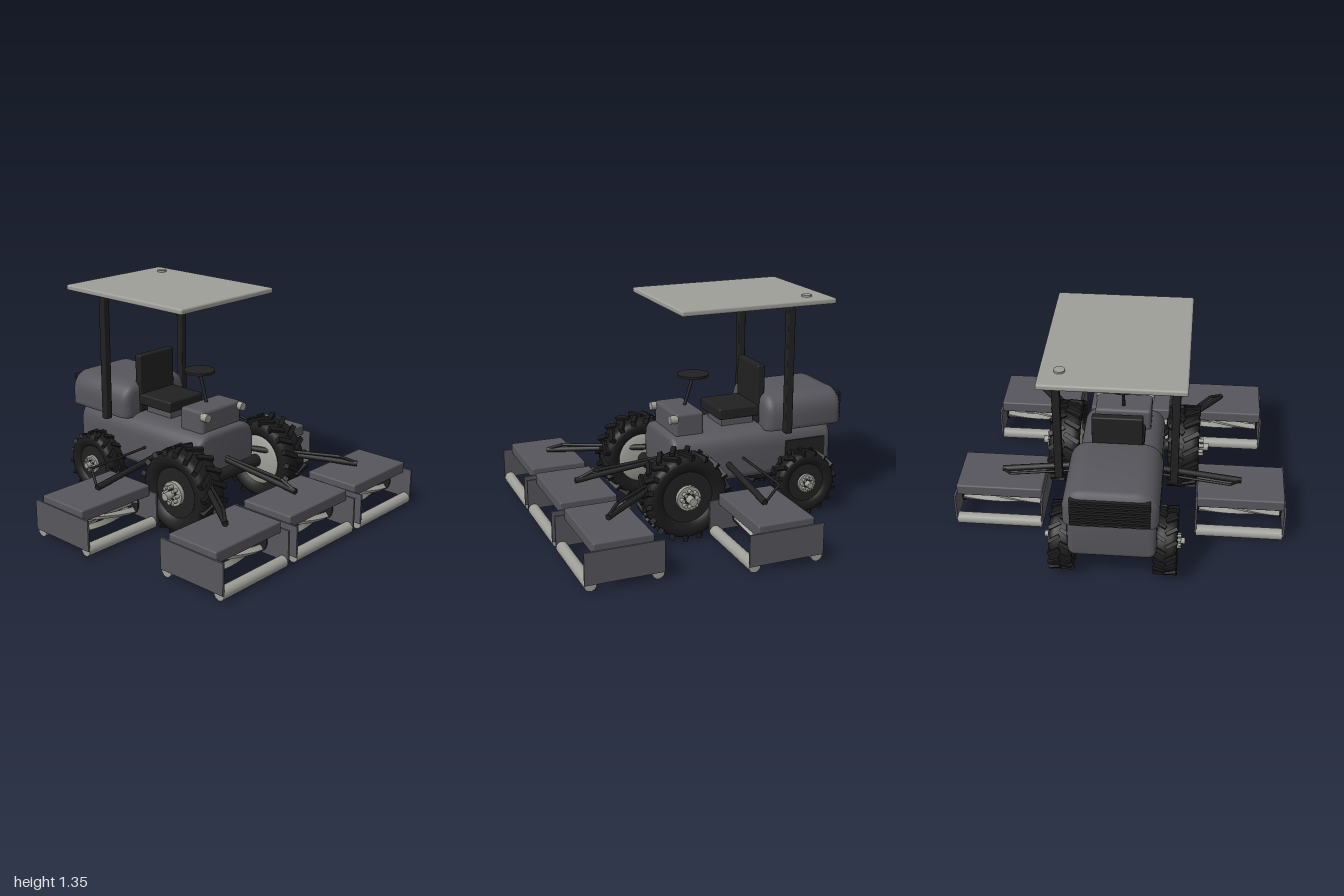
import * as THREE from 'three';
import { toCreasedNormals } from 'three/addons/utils/BufferGeometryUtils.js';
import { RoundedBoxGeometry } from 'three/addons/geometries/RoundedBoxGeometry.js';

const mat = (name, color) => {
  const m = new THREE.MeshStandardMaterial({ color });
  m.name = name;
  return m;
};
const V = (x, y, z) => new THREE.Vector3(x, y, z);

export function createModel() {
  const paint = mat('charcoal paint', 0x57565c);
  const black = mat('black', 0x212122);
  const rubber = mat('tyre rubber', 0x1b1b1c);
  const light = mat('light grey', 0x9f9f98);
  const root = new THREE.Group();
  root.name = 'reelMower';

  function add(parent, name, geo, material, x = 0, y = 0, z = 0) {
    const m = new THREE.Mesh(geo, material);
    m.name = name;
    m.position.set(x, y, z);
    parent.add(m);
    return m;
  }
  // box given by its limits
  const block = (parent, name, material, [x0, x1], [y0, y1], [z0, z1], r = 0) =>
    add(parent, name, r
      ? new RoundedBoxGeometry(x1 - x0, y1 - y0, z1 - z0, 2, r)
      : new THREE.BoxGeometry(x1 - x0, y1 - y0, z1 - z0),
    material, (x0 + x1) / 2, (y0 + y1) / 2, (z0 + z1) / 2);
  // straight rod between two points
  function rod(parent, name, a, b, r, material, sides = 10) {
    const d = b.clone().sub(a);
    const m = add(parent, name, new THREE.CylinderGeometry(r, r, d.length(), sides), material);
    m.position.copy(a).addScaledVector(d, 0.5);
    m.quaternion.setFromUnitVectors(V(0, 1, 0), d.normalize());
    return m;
  }
  // disc or drum lying along z
  const drum = (parent, name, material, r, z0, z1, x = 0, y = 0, sides = 24) => {
    const g = new THREE.CylinderGeometry(r, r, z1 - z0, sides).rotateX(Math.PI / 2);
    return add(parent, name, g, material, x, y, (z0 + z1) / 2);
  };
  // rounded section swept along x with softened ends
  function hull(x0, x1, y0, y1, w, rTop, rBottom, bevel) {
    const b = bevel, h = w - b, t = y1 - b, u = y0 + b;
    const s = new THREE.Shape();
    s.moveTo(-h + rBottom, u);
    s.lineTo(h - rBottom, u);
    s.quadraticCurveTo(h, u, h, u + rBottom);
    s.lineTo(h, t - rTop);
    s.quadraticCurveTo(h, t, h - rTop, t);
    s.lineTo(-h + rTop, t);
    s.quadraticCurveTo(-h, t, -h, t - rTop);
    s.lineTo(-h, u + rBottom);
    s.quadraticCurveTo(-h, u, -h + rBottom, u);
    const g = new THREE.ExtrudeGeometry(s, {
      depth: x1 - x0 - 2 * b, bevelThickness: b, bevelSize: b, bevelSegments: 3, curveSegments: 8,
    });
    return g.rotateY(Math.PI / 2).translate(x0 + b, 0, 0);
  }

  // chassis and rear engine hood with a flat underside
  add(root, 'chassis', toCreasedNormals(hull(-0.865, 0.18, 0.25, 0.555, 0.25, 0.09, 0.02, 0.03), 0.6), paint);
  const hood = hull(-0.93, -0.42, 0.46, 0.75, 0.268, 0.08, 0.05, 0.05);
  const hp = hood.attributes.position;
  for (let i = 0; i < hp.count; i++) hp.setY(i, Math.max(hp.getY(i), 0.535));
  add(root, 'engineHood', toCreasedNormals(hood, 0.6), paint);
  for (let i = 0; i < 7; i++) {
    const y = 0.56 + i * 0.025;
    block(root, 'grilleSlat', black, [-0.943, -0.9], [y - 0.008, y + 0.008], [-0.22, 0.22]);
  }
  block(root, 'sideVent', black, [-0.82, -0.55], [0.34, 0.46], [-0.256, -0.248]);

  // seat, console and steering
  block(root, 'seatBack', black, [-0.455, -0.408], [0.56, 0.92], [-0.145, 0.145], 0.008);
  block(root, 'seatCushion', black, [-0.42, -0.155], [0.605, 0.675], [-0.145, 0.145], 0.012);
  block(root, 'seatBase', paint, [-0.4, -0.19], [0.54, 0.61], [-0.1, 0.1]);
  block(root, 'console', paint, [-0.045, 0.14], [0.53, 0.685], [-0.17, 0.17], 0.02);
  rod(root, 'steeringColumn', V(0.015, 0.67, 0), V(-0.045, 0.865, 0), 0.01, black);
  add(root, 'steeringWheel', new THREE.CylinderGeometry(0.094, 0.094, 0.014, 28), black, -0.045, 0.868, 0);
  for (const s of [-1, 1])
    rod(root, 'headlamp', V(0.125, 0.652, s * 0.155), V(0.172, 0.652, s * 0.155), 0.025, light, 16);

  // canopy on two posts
  for (const s of [-1, 1])
    block(root, 'canopyPost', black, [-0.54, -0.495], [0.54, 1.3], [s * 0.33 - 0.023, s * 0.33 + 0.023], 0.006);
  block(root, 'canopy', light, [-0.785, 0.19], [1.315, 1.35], [-0.395, 0.395], 0.012);
  add(root, 'canopyCap', new THREE.CylinderGeometry(0.03, 0.03, 0.012, 20), light, -0.645, 1.355, -0.285);

  // wheel with its axle along z and its outer face at +z
  function wheel(name, R, W, lugs) {
    const g = new THREE.Group();
    g.name = name;
    const r = R * 0.94, w = W / 2;
    const profile = [[0.62, -0.7], [0.72, -0.95], [0.87, -0.98], [0.97, -0.85], [1, -0.5],
      [1, 0.5], [0.97, 0.85], [0.87, 0.98], [0.72, 0.95], [0.62, 0.7]]
      .map(([a, b]) => new THREE.Vector2(a * r, b * w));
    add(g, 'tyre', new THREE.LatheGeometry(profile, 40).rotateX(Math.PI / 2), rubber);
    for (let i = 0; i < lugs * 2; i++) {
      const a = (i * Math.PI) / lugs, s = i % 2 ? 1 : -1;
      const pivot = new THREE.Group();
      pivot.name = 'treadLug';
      pivot.rotation.z = a;
      g.add(pivot);
      const lug = add(pivot, 'lug', new THREE.BoxGeometry(R * 0.13, R * 0.11, W * 0.54), rubber, R * 0.93, 0, s * W * 0.24);
      lug.rotation.x = s * 0.5;
    }
    drum(g, 'rim', black, r * 0.66, -w * 0.7, w * 0.7, 0, 0, 32);
    // pale dished inner side
    const dish = [[0, -0.98], [0.3, -0.95], [0.55, -0.85], [0.65, -0.7]]
      .map(([a, b]) => new THREE.Vector2(a * r, b * w));
    add(g, 'innerDish', new THREE.LatheGeometry(dish, 32).rotateX(Math.PI / 2), light);
    drum(g, 'hub', light, R * 0.28, 0, W * 0.48);
    drum(g, 'hubCap', light, R * 0.09, 0, W * 0.8, 0, 0, 16);
    for (let i = 0; i < 8; i++) {
      const a = (i * Math.PI) / 4;
      drum(g, 'hubBolt', light, R * 0.045, 0, W * 0.64, Math.cos(a) * R * 0.18, Math.sin(a) * R * 0.18, 8);
    }
    drum(g, 'hubRing', black, R * 0.13, 0, W * 0.5, 0, 0, 20);
    return g;
  }
  for (const s of [-1, 1]) {
    const front = wheel('frontWheel', 0.262, 0.195, 18);
    front.position.set(0.175, 0.273, s * 0.37);
    const rear = wheel('rearWheel', 0.202, 0.135, 16);
    rear.position.set(-0.645, 0.21, s * 0.3);
    for (const wl of [front, rear]) {
      if (s < 0) wl.rotation.y = Math.PI;
      root.add(wl);
    }
  }
  drum(root, 'frontAxle', black, 0.04, -0.32, 0.32, 0.175, 0.273);
  drum(root, 'rearAxle', black, 0.035, -0.28, 0.28, -0.645, 0.21);

  // cutting unit: cover, side plates, rollers and a helical reel
  function cuttingUnit(x, z) {
    const g = new THREE.Group();
    g.name = 'cuttingUnit';
    g.position.set(x, 0, z);
    root.add(g);
    block(g, 'cover', paint, [-0.17, 0.17], [0.21, 0.282], [-0.262, 0.262], 0.01);
    for (const s of [-1, 1]) {
      block(g, 'sidePlate', paint, [-0.225, 0.225], [0.055, 0.24], [s * 0.264 - 0.006, s * 0.264 + 0.006]);
      drum(g, 'roller', light, 0.035, -0.26, 0.26, s * 0.19, 0.05, 16);
      drum(g, 'reelEnd', black, 0.083, s * 0.25 - 0.004, s * 0.25 + 0.004, 0, 0.132);
    }
    drum(g, 'reelShaft', light, 0.03, -0.255, 0.255, 0, 0.132, 14);
    for (let i = 0; i < 6; i++) {
      const b = new THREE.BoxGeometry(0.035, 0.016, 0.495, 1, 1, 14).translate(0.061, 0, 0);
      const p = b.attributes.position;
      for (let k = 0; k < p.count; k++) {
        const a = (i * Math.PI) / 3 + p.getZ(k) * 3.2, px = p.getX(k), py = p.getY(k);
        p.setXY(k, px * Math.cos(a) - py * Math.sin(a), px * Math.sin(a) + py * Math.cos(a));
      }
      b.computeVertexNormals();
      add(g, 'reelBlade', b, light, 0, 0.132, 0);
    }
  }
  for (const z of [-0.6, 0, 0.6]) cuttingUnit(0.71, z);
  for (const z of [-0.73, 0.73]) cuttingUnit(-0.175, z);

  // lift arms with thin hydraulic lines
  const line = (name, pts, r) => pts.slice(1).forEach((p, i) => rod(root, name, V(...pts[i]), V(...p), r, black, 8));
  line('centreArm', [[0.15, 0.36, 0], [0.71, 0.3, 0]], 0.018);
  line('centreLink', [[0.15, 0.375, 0], [0.6, 0.345, 0], [0.71, 0.3, 0]], 0.01);
  for (const s of [-1, 1]) {
    line('frontArm', [[0.17, 0.36, s * 0.24], [0.71, 0.3, s * 0.6]], 0.018);
    line('frontLink', [[0.3, 0.365, s * 0.31], [0.63, 0.345, s * 0.53], [0.71, 0.305, s * 0.6]], 0.01);
    line('rearArm', [[-0.172, 0.36, s * 0.23], [-0.172, 0.295, s * 0.73]], 0.019);
    line('rearLink', [[-0.265, 0.39, s * 0.23], [-0.298, 0.36, s * 0.66], [-0.18, 0.295, s * 0.725]], 0.008);
  }
  return root;
}
